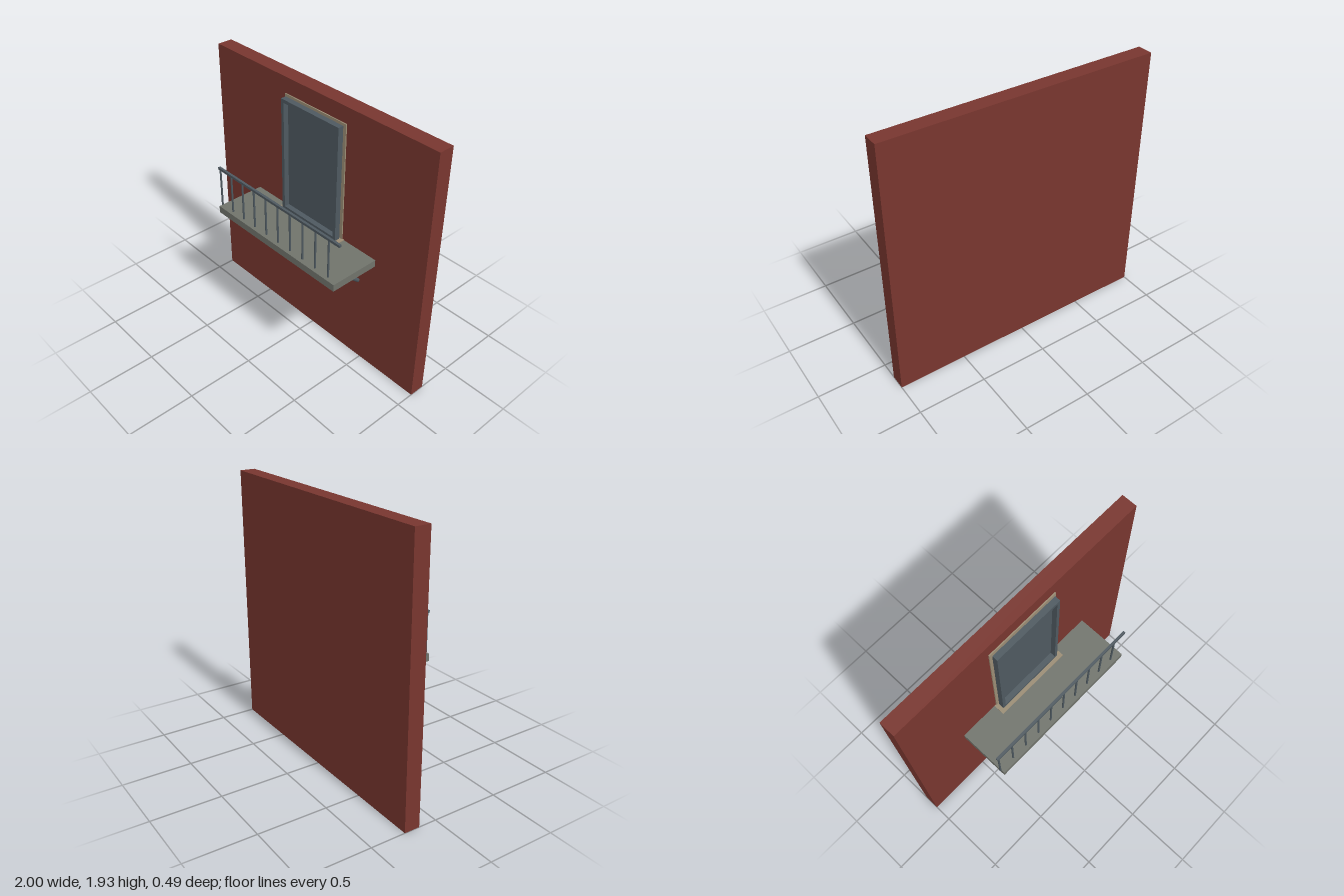
import * as THREE from 'three';

export function createModel() {
  const model = new THREE.Group();
  const mat = (name, color) => {
    const m = new THREE.MeshStandardMaterial({ color });
    m.name = name;
    return m;
  };
  const brick = mat('brick red', 0x78362f);
  const concrete = mat('concrete grey', 0x70736b);
  const slate = mat('slate metal', 0x4e5960);
  const beige = mat('beige trim', 0x9a8c74);

  // Box given by its lower and upper limits on each axis
  const box = (name, material, [x0, x1], [y0, y1], [z0, z1], parent = model) => {
    const mesh = new THREE.Mesh(new THREE.BoxGeometry(x1 - x0, y1 - y0, z1 - z0), material);
    mesh.position.set((x0 + x1) / 2, (y0 + y1) / 2, (z0 + z1) / 2);
    mesh.name = name;
    parent.add(mesh);
    return mesh;
  };

  // Round bar between two points
  const bar = (name, material, a, b, radius, parent = model) => {
    const dir = b.clone().sub(a);
    const mesh = new THREE.Mesh(new THREE.CylinderGeometry(radius, radius, dir.length(), 12), material);
    mesh.position.copy(a).add(b).multiplyScalar(0.5);
    mesh.quaternion.setFromUnitVectors(new THREE.Vector3(0, 1, 0), dir.normalize());
    mesh.name = name;
    parent.add(mesh);
    return mesh;
  };

  // Wall and balcony slab
  box('wall', brick, [-1, 1], [0, 1.93], [-0.245, -0.132]);
  box('balconySlab', concrete, [-0.587, 0.587], [0.885, 0.938], [-0.132, 0.245]);

  // Door surround and sill
  box('doorTrim', beige, [-0.283, 0.283], [0.938, 1.815], [-0.132, -0.124]);
  box('doorSill', beige, [-0.298, 0.298], [0.938, 0.943], [-0.132, -0.047]);

  // Door: raised frame around a recessed panel
  const door = new THREE.Group();
  door.name = 'door';
  model.add(door);
  const z = [-0.116, -0.075];
  for (const s of [-1, 1]) {
    box('doorStile', slate, s < 0 ? [-0.267, -0.243] : [0.243, 0.267], [0.943, 1.802], z, door);
  }
  box('doorTopRail', slate, [-0.243, 0.243], [1.778, 1.802], z, door);
  box('doorBottomRail', slate, [-0.243, 0.243], [0.943, 0.967], z, door);
  box('doorPanel', slate, [-0.243, 0.243], [0.967, 1.778], [-0.126, -0.114], door);

  // Railing: handrail on ten evenly spaced balusters
  const railing = new THREE.Group();
  railing.name = 'railing';
  model.add(railing);
  box('handrail', slate, [-0.603, 0.603], [1.228, 1.246], [0.204, 0.222], railing);
  for (let i = 0; i < 10; i++) {
    const x = -0.59 + i * 0.1215;
    bar('baluster', slate, new THREE.Vector3(x, 0.935, 0.213), new THREE.Vector3(x, 1.23, 0.213), 0.007, railing);
  }

  // Diagonal support brackets under the slab
  for (const s of [-1, 1]) {
    bar('bracket', slate, new THREE.Vector3(s * 0.448, 0.688, -0.125),
      new THREE.Vector3(s * 0.448, 0.9, 0.128), 0.014);
  }
  return model;
}
